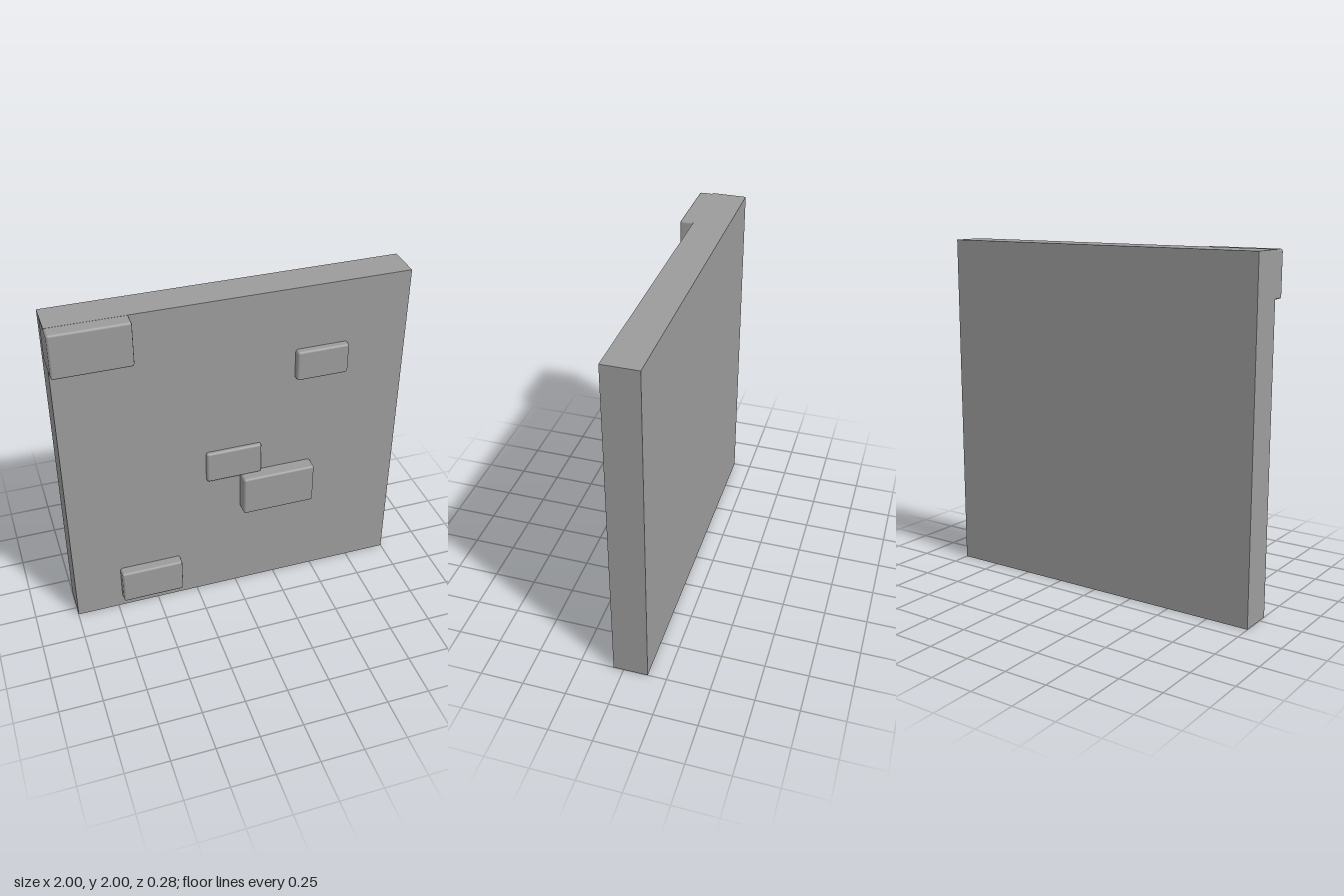
import * as THREE from 'three';
import { RoundedBoxGeometry } from 'three/addons/geometries/RoundedBoxGeometry.js';

const material = new THREE.MeshStandardMaterial({ color: 0x9c9c9c });

// Wall slab extents
const WALL_BACK = -0.141;
const WALL_FRONT = 0.059;

// Raised bricks: left x, right x, bottom y, top y, front z
const BRICKS = [
  ['cornerBrick', -1.0, -0.567, 1.741, 1.999, 0.139],
  ['upperBrick', 0.345, 0.648, 1.439, 1.622, 0.099],
  ['middleBrick', -0.177, 0.152, 0.839, 1.038, 0.083],
  ['largeBrick', 0.028, 0.462, 0.591, 0.845, 0.139],
  ['lowerBrick', -0.722, -0.352, 0.078, 0.298, 0.119],
];

// Chamfered brick, set into the slab
function makeBrick(name, x0, x1, y0, y1, front) {
  const width = x1 - x0;
  const back = Math.max(front - width / 2, WALL_BACK + 0.03);
  const geometry = new RoundedBoxGeometry(width, y1 - y0, front - back, 1, 0.013);
  const brick = new THREE.Mesh(geometry, material);
  brick.name = name;
  brick.position.set((x0 + x1) / 2, (y0 + y1) / 2, (front + back) / 2);
  return brick;
}

export function createModel() {
  const model = new THREE.Group();
  model.name = 'brickWall';

  // Plain square slab
  const wall = new THREE.Mesh(
    new THREE.BoxGeometry(1.999, 2, WALL_FRONT - WALL_BACK),
    material
  );
  wall.name = 'wallSlab';
  wall.position.set(0.0005, 1, (WALL_FRONT + WALL_BACK) / 2);
  model.add(wall);

  // Scattered exposed bricks
  for (const brick of BRICKS) model.add(makeBrick(...brick));

  return model;
}
